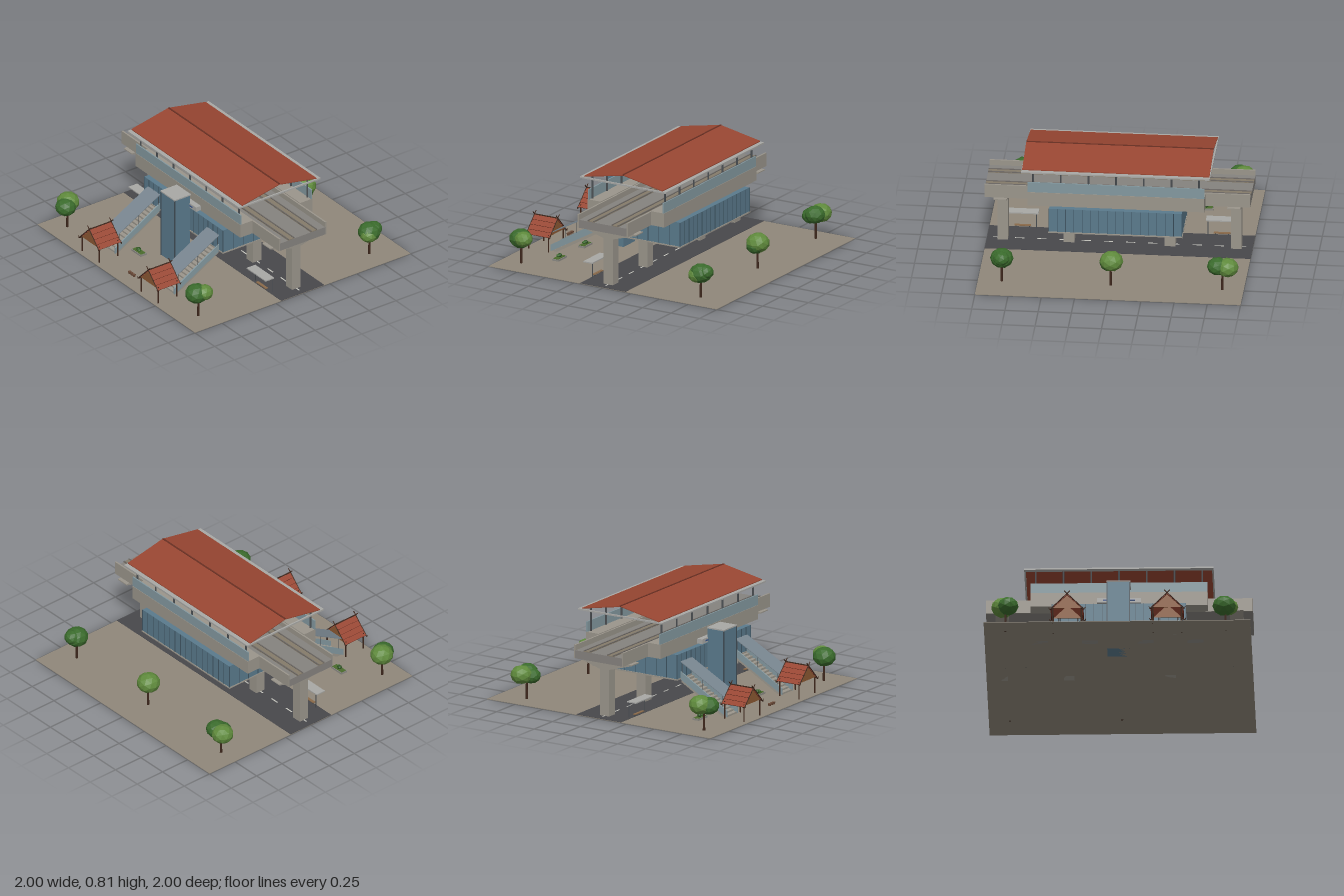
import * as THREE from 'three';

const mats = {};
const mat = (color) => (mats[color] ??= new THREE.MeshStandardMaterial({ color, flatShading: true, side: THREE.DoubleSide }));

const CONCRETE = 0x9a958b, PALE = 0xa8a8a5, DARK = 0x4a4844, GLASS = 0x5a7a8c, LIGHT_GLASS = 0x83989f;
const ROOF = 0x984632, WOOD = 0x3d261b, STEEL = 0x4a4e52, LEAF = 0x3a6b2c, LEAF_LIGHT = 0x5f8a3c;

function add(parent, name, geometry, color) {
  const mesh = new THREE.Mesh(geometry, mat(color));
  mesh.name = name;
  parent.add(mesh);
  return mesh;
}

// Box given by its extents on each axis
function box(parent, name, color, x0, x1, y0, y1, z0, z1) {
  const g = new THREE.BoxGeometry(x1 - x0, y1 - y0, z1 - z0);
  g.translate((x0 + x1) / 2, (y0 + y1) / 2, (z0 + z1) / 2);
  return add(parent, name, g, color);
}

// Profile of [z, y] points swept along x
function prism(parent, name, color, points, x0, x1) {
  const shape = new THREE.Shape(points.map(([a, b]) => new THREE.Vector2(a, b)));
  const g = new THREE.ExtrudeGeometry(shape, { depth: x1 - x0, bevelEnabled: false });
  g.rotateY(-Math.PI / 2).translate(x1, 0, 0);
  return add(parent, name, g, color);
}

// Thin round bar between two points
function bar(parent, name, color, a, b, r, sides = 6) {
  const p = new THREE.Vector3(...a), q = new THREE.Vector3(...b);
  const m = add(parent, name, new THREE.CylinderGeometry(r, r, p.distanceTo(q), sides), color);
  m.position.copy(p).lerp(q, 0.5);
  m.quaternion.setFromUnitVectors(new THREE.Vector3(0, 1, 0), q.sub(p).normalize());
  return m;
}

function group(parent, name, x = 0, z = 0) {
  const g = new THREE.Group();
  g.name = name;
  g.position.set(x, 0, z);
  parent.add(g);
  return g;
}

function buildGround(root) {
  const g = group(root, 'site');
  box(g, 'ground', 0x8f877a, -1, 1, 0, 0.004, -1, 1);
  box(g, 'road', 0x47474b, -1, 1, 0.004, 0.006, -0.2, 0.2);
  for (let i = 0; i < 12; i++) {
    const x = -0.95 + i * 0.167;
    box(g, 'laneDash', 0xc8c8c0, x, x + 0.07, 0.006, 0.0075, -0.005, 0.005);
  }
}

function buildViaduct(root) {
  const g = group(root, 'viaduct');
  box(g, 'deck', 0x85827e, -1, 1, 0.44, 0.503, -0.21, 0.21);
  for (const s of [-1, 1]) {
    const span = (a, b) => [Math.min(s * a, s * b), Math.max(s * a, s * b)];
    box(g, 'parapet', CONCRETE, -1, 1, 0.44, 0.545, ...span(0.207, 0.22));
    box(g, 'trackBed', 0x857b6a, -1, 1, 0.503, 0.508, ...span(0.075, 0.135));
    for (const z of [0.08, 0.13]) box(g, 'rail', 0x6e6a66, -1, 1, 0.508, 0.514, s * z - 0.004, s * z + 0.004);
  }
  // Piers with flared heads
  for (const x of [-0.88, -0.38, 0.38, 0.88]) {
    box(g, 'pier', CONCRETE, x - 0.04, x + 0.04, 0, 0.38, -0.04, 0.04);
    prism(g, 'pierHead', CONCRETE,
      [[-0.04, 0.37], [0.04, 0.37], [0.25, 0.432], [0.25, 0.44], [-0.25, 0.44], [-0.25, 0.432]], x - 0.05, x + 0.05);
  }
}

function buildStation(root) {
  const g = group(root, 'station');
  // Glazed concourse under the deck
  box(g, 'concourse', GLASS, -0.5, 0.5, 0.25, 0.438, -0.375, 0.375);
  box(g, 'concourseFloor', CONCRETE, -0.505, 0.505, 0.24, 0.25, -0.38, 0.38);
  for (const s of [-1, 1]) {
    for (let i = 0; i <= 16; i++) {
      const x = -0.5 + i / 16;
      box(g, 'mullion', 0x3f5563, x - 0.002, x + 0.002, 0.25, 0.438, s * 0.376 - 0.002, s * 0.376 + 0.002);
    }
    for (let i = 0; i <= 8; i++) {
      const z = -0.375 + i * 0.09375;
      box(g, 'mullion', 0x3f5563, s * 0.501 - 0.002, s * 0.501 + 0.002, 0.25, 0.438, z - 0.002, z + 0.002);
    }
    // Platform, screen and roof columns on each side
    box(g, 'platform', CONCRETE, -0.665, 0.665, 0.44, 0.55, s * 0.278 - 0.057, s * 0.278 + 0.057);
    box(g, 'platformScreen', LIGHT_GLASS, -0.665, 0.665, 0.55, 0.63, s * 0.327 - 0.005, s * 0.327 + 0.005);
    for (let i = -3; i <= 3; i++) {
      bar(g, 'roofColumn', STEEL, [i * 0.208, 0.55, s * 0.317], [i * 0.208, 0.74, s * 0.317], 0.007, 8);
    }
    box(g, 'eaveBeam', PALE, -0.71, 0.71, 0.724, 0.736, s * 0.357 - 0.02, s * 0.357 + 0.02);
    box(g, 'endBeam', PALE, s * 0.704 - 0.006, s * 0.704 + 0.006, 0.724, 0.736, -0.375, 0.375);
  }
  prism(g, 'gableRoof', ROOF,
    [[-0.345, 0.737], [0, 0.803], [0.345, 0.737], [0.345, 0.743], [0, 0.81], [-0.345, 0.743]], -0.705, 0.705);
  box(g, 'ridgeCap', 0x6b3023, -0.705, 0.705, 0.804, 0.813, -0.006, 0.006);
  // Plain sign panel
  box(g, 'signPanel', PALE, -0.165, 0.165, 0.445, 0.482, 0.335, 0.38);
  box(g, 'signStripe', 0x35528a, -0.12, 0.12, 0.458, 0.468, 0.38, 0.383);
  // Lift shaft
  box(g, 'liftShaft', GLASS, -0.084, 0.084, 0, 0.55, 0.375, 0.52);
  box(g, 'liftRoof', PALE, -0.09, 0.09, 0.55, 0.56, 0.372, 0.525);
  for (const x of [-0.084, 0.084]) box(g, 'liftFrame', 0x3f4c55, x - 0.004, x + 0.004, 0, 0.55, 0.516, 0.524);
}

function buildStairs(root, x) {
  const g = group(root, 'stairs', x);
  prism(g, 'stairSlab', CONCRETE, [[0.785, 0.004], [0.74, 0.004], [0.375, 0.215], [0.375, 0.24]], -0.066, 0.066);
  const n = 14, run = 0.41 / n, rise = 0.24 / n;
  for (let i = 0; i < n; i++) {
    const z = 0.785 - i * run;
    box(g, 'step', CONCRETE, -0.066, 0.066, i * rise, (i + 1) * rise, z - run, z);
  }
  for (const s of [-1, 1]) {
    prism(g, 'stairSide', LIGHT_GLASS,
      [[0.79, 0.004], [0.79, 0.055], [0.375, 0.298], [0.375, 0.238]], s * 0.072 - 0.005, s * 0.072 + 0.005);
    for (const [z, y0, y1] of [[0.39, 0.28, 0.365], [0.57, 0.17, 0.268], [0.75, 0.07, 0.168]])
      bar(g, 'canopyPost', STEEL, [s * 0.072, y0, z], [s * 0.072, y1, z], 0.002);
  }
  prism(g, 'stairCanopy', 0x78858f, [[0.375, 0.372], [0.785, 0.148], [0.785, 0.154], [0.375, 0.378]], -0.077, 0.077);
}

function buildHut(root, x) {
  const g = group(root, 'entranceHut', x, 0.875);
  const z0 = -0.102, z1 = 0.102;
  for (const s of [-1, 1]) {
    for (const z of [-0.085, 0.088]) {
      bar(g, 'hutPost', WOOD, [s * 0.107, 0, z], [s * 0.107, 0.14, z], 0.006);
      // Crossed gable boards with curled eave tips
      const e = z < 0 ? z0 : z1;
      bar(g, 'gableBoard', WOOD, [s * 0.125, 0.118, e], [-s * 0.022, 0.268, e], 0.004);
      bar(g, 'eaveTip', WOOD, [s * 0.11, 0.122, e], [s * 0.13, 0.114, e], 0.004);
      bar(g, 'eaveTip', WOOD, [s * 0.13, 0.114, e], [s * 0.136, 0.13, e], 0.003);
    }
    // Overlapping rows of tiles
    const slope = Math.atan2(0.12, 0.12);
    for (let i = 0; i < 4; i++) {
      const d = (i + 0.5) / 4;
      const row = add(g, 'tileRow', new THREE.BoxGeometry(0.044, 0.006, z1 - z0), ROOF);
      row.position.set(s * 0.12 * d, 0.242 - 0.12 * d, 0);
      row.rotation.z = -s * (slope - 0.08);
      const k = (i + 1) / 4;
      bar(g, 'tileBatten', 0x5a2318, [s * 0.12 * k, 0.243 - 0.12 * k, z0], [s * 0.12 * k, 0.243 - 0.12 * k, z1], 0.003);
    }
    bar(g, 'eaveBeam', WOOD, [s * 0.107, 0.13, z0], [s * 0.107, 0.13, z1], 0.005);
  }
  for (const z of [-0.094, 0.088]) {
    const tri = new THREE.Shape([new THREE.Vector2(-0.105, 0.13), new THREE.Vector2(0.105, 0.13), new THREE.Vector2(0, 0.234)]);
    const geo = new THREE.ExtrudeGeometry(tri, { depth: 0.006, bevelEnabled: false });
    add(g, 'gablePanel', geo.translate(0, 0, z), 0x8b5832);
  }
  bar(g, 'ridgePole', WOOD, [0, 0.245, z0], [0, 0.245, z1], 0.005);
}

function buildShelter(root, x) {
  const g = group(root, 'busShelter', x, 0.21);
  box(g, 'shelterRoof', PALE, -0.12, 0.12, 0.125, 0.134, -0.04, 0.04);
  for (const s of [-1, 1]) {
    bar(g, 'shelterPost', STEEL, [s * 0.105, 0, -0.033], [s * 0.105, 0.126, -0.033], 0.004);
    box(g, 'benchLeg', STEEL, s * 0.05 - 0.003, s * 0.05 + 0.003, 0, 0.018, -0.022, -0.008);
  }
  box(g, 'bench', 0x8a6a4a, -0.062, 0.062, 0.018, 0.024, -0.026, -0.004);
}

function leafBall(parent, name, color, x, y, z, r, squash = 0.85) {
  const m = add(parent, name, new THREE.IcosahedronGeometry(r, 1), color);
  m.position.set(x, y, z);
  m.scale.y = squash;
  m.rotation.y = x * 7 + z * 3;
}

function buildTree(root, x, z, blobs) {
  const g = group(root, 'tree', x, z);
  const trunk = add(g, 'trunk', new THREE.CylinderGeometry(0.007, 0.01, 0.17, 7), WOOD);
  trunk.position.y = 0.085;
  blobs.forEach(([dx, y, dz, r, c]) => leafBall(g, 'foliage', c, dx, y, dz, r));
}

function buildPlanter(root, x) {
  const g = group(root, 'planter', x, 0.635);
  box(g, 'planterBox', 0x8c8a84, -0.06, 0.06, 0, 0.018, -0.028, 0.028);
  box(g, 'planterGrass', 0x4a6b2c, -0.054, 0.054, 0.018, 0.021, -0.022, 0.022);
  leafBall(g, 'shrub', 0x2f5425, -0.006, 0.033, 0, 0.018, 0.8);
  leafBall(g, 'shrub', LEAF, 0.01, 0.032, 0.006, 0.014, 0.8);
}

export function createModel() {
  const root = new THREE.Group();
  root.name = 'elevatedStation';
  buildGround(root);
  buildViaduct(root);
  buildStation(root);
  for (const s of [-1, 1]) {
    buildStairs(root, s * 0.375);
    buildHut(root, s * 0.375);
    buildShelter(root, s * 0.75);
  }
  for (const x of [-0.585, -0.21, 0.205, 0.58]) buildPlanter(root, x);
  // Pots on the forecourt
  for (const x of [0, 0.028, 0.056]) {
    const pot = add(root, 'pot', new THREE.CylinderGeometry(0.013, 0.009, 0.02, 10), 0x6b4a38);
    pot.position.set(x, 0.012, 0.875);
  }
  buildTree(root, -0.84, -0.75, [[-0.04, 0.2, -0.02, 0.085, LEAF_LIGHT], [0.035, 0.205, -0.015, 0.08, LEAF], [0.02, 0.185, 0.03, 0.07, LEAF]]);
  buildTree(root, 0, -0.75, [[-0.005, 0.205, 0, 0.09, LEAF_LIGHT], [0.01, 0.185, 0.01, 0.075, LEAF]]);
  buildTree(root, 0.82, -0.75, [[0, 0.195, 0, 0.088, LEAF], [0, 0.21, -0.04, 0.065, LEAF], [0.02, 0.185, 0.02, 0.07, LEAF_LIGHT]]);
  buildTree(root, -0.84, 0.84, [[-0.02, 0.205, -0.02, 0.088, LEAF_LIGHT], [0.02, 0.195, 0.03, 0.08, LEAF]]);
  buildTree(root, 0.81, 0.83, [[-0.01, 0.195, 0.01, 0.088, LEAF], [0.025, 0.205, -0.035, 0.07, LEAF_LIGHT]]);
  return root;
}
